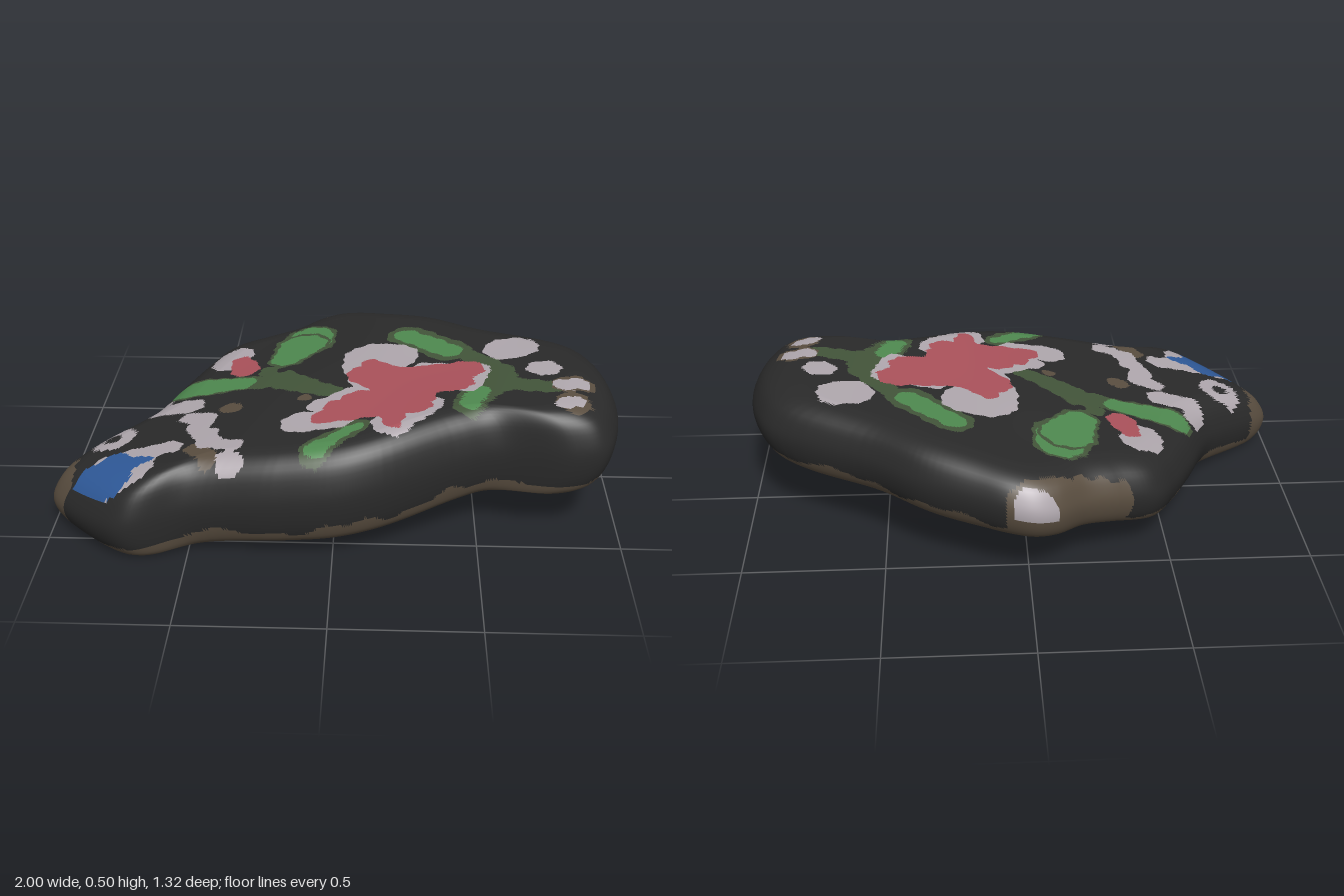
import * as THREE from 'three';

const mat = (name, color) => {
  const m = new THREE.MeshStandardMaterial({ color, side: THREE.DoubleSide });
  m.name = name;
  return m;
};

// Outline of the stone and of the opening underneath, as [x, z] in hundredths
const OUTLINE = [[-2, -66], [6, -65], [18, -60], [37, -51], [56, -37], [90, -17], [97, -4], [100, 15], [98, 32],
  [93, 43], [82, 46], [58, 42], [45, 46], [15, 60], [0, 63.5], [-20, 63], [-50, 60.5], [-70, 66], [-80, 61],
  [-100, 39], [-99, 33], [-80, 15], [-72, 6], [-62, -16], [-54, -32], [-46, -44], [-32, -50], [-20, -55], [-10, -63]];
const OPENING = [[43, -39], [57, -1], [29, 36], [-19, 52], [-67, 38], [-68, 7], [-38, -28]];
const CX = 5, CZ = 5;

// Distance from the centre to a closed polygon along an angle
function reach(poly, a) {
  const dx = Math.cos(a), dz = Math.sin(a);
  let best = 0;
  poly.forEach((p, i) => {
    const q = poly[(i + 1) % poly.length];
    const px = p[0] - CX, pz = p[1] - CZ, ex = q[0] - p[0], ez = q[1] - p[1];
    const det = ex * dz - ez * dx;
    if (Math.abs(det) < 1e-9) return;
    const t = (ex * pz - ez * px) / det;
    const s = (dx * pz - dz * px) / det;
    if (s >= -1e-6 && s <= 1 + 1e-6 && t > best) best = t;
  });
  return best;
}

// A brush stroke from one point to another, tapering from w1 to w2, with a slightly rough edge
const stroke = (x1, z1, x2, z2, w1, w2 = w1) => (x, z) => {
  const ex = x2 - x1, ez = z2 - z1;
  const t = THREE.MathUtils.clamp(((x - x1) * ex + (z - z1) * ez) / (ex * ex + ez * ez || 1), 0, 1);
  const rough = 0.3 * Math.sin(0.9 * x + 0.4 * z) + 0.3 * Math.sin(1.1 * z - 0.5 * x);
  return Math.hypot(x - x1 - t * ex, z - z1 - t * ez) < w1 + (w2 - w1) * t + rough;
};
const dot = (x, z, r) => stroke(x, z, x, z, r);

const BLACK = 0, BROWN = 1, GREEN = 2, STEM = 3, RED = 4, WHITE = 5, BLUE = 6;

// Painted shapes on the top face; later ones cover earlier ones
const paint = [];
const brush = (colour, ...strokes) => strokes.forEach((covers) => paint.push({ colour, covers }));
const leaf = (border, x1, z1, x2, z2, w1, w2) => {
  brush(STEM, stroke(x1, z1, x2, z2, w1 + border, w2 + border));
  brush(GREEN, stroke(x1, z1, x2, z2, w1, w2));
};

// stems and bare spots
brush(STEM, stroke(-30, 0, -18, 2, 5), stroke(-20, 2, -2, 16, 6, 4), stroke(-26, -8, -18, 0, 4), stroke(48, -6, 58, 8, 4, 5));
brush(STEM, stroke(58, 10, 58, 20, 6), stroke(56, 18, 76, 24, 5, 4), stroke(58, 18, 50, 30, 5));
brush(BROWN, dot(-38, 18, 4), dot(-11, 18, 2.5), stroke(-48, 46, -42, 53, 3.5), dot(82, 34, 6.3), stroke(81, 22, 85, 21, 5.5));
brush(BLACK, dot(-21, -7, 2));
// leaves
leaf(1.5, -12, -36, -13, -29, 8.5, 9.5);
leaf(1.5, -15, -28, -20, -17, 9.5, 6);
leaf(1, -56, -4, -35, -1.5, 6.5, 4.5);
leaf(3, 25, -27, 41, -11, 4.5, 5);
leaf(2.5, 50, 24, 46.5, 34, 4, 3.5);
leaf(2, -6, 55, 8, 43, 3.5, 2.2);
// large flower
brush(WHITE, stroke(13, -10, 18, -9, 11.5), stroke(6, -5, 10, 12, 5), stroke(32, 4, 49, 7, 6), stroke(48, 10, 46, 18, 6));
brush(WHITE, stroke(30, 32, 20, 43, 7.5), stroke(-12, 36, 0, 36, 7), stroke(-5, 26, 8, 18, 5));
brush(RED, stroke(12, -4, 17, 6, 4, 8), stroke(10, 4, 18, 14, 7), stroke(20, 8, 46, 6, 7), stroke(20, 16, 41, 15, 8));
brush(RED, stroke(8, 25, 28, 26, 7.5), stroke(-4, 34, 28, 32, 4.5, 6), stroke(20, 35, 20, 45, 6, 2.5), stroke(0, 27, 10, 24, 4));
// small bud
brush(WHITE, stroke(-41, -26, -42, -22, 7.5));
brush(RED, stroke(-38, -21, -35.5, -13, 4, 5.5));
// white petals and trailing blobs
brush(WHITE, stroke(62, -9, 65, -10, 8.8), dot(74, 9, 6), stroke(80, 22, 85, 21, 4), stroke(79, 35, 83, 33, 3.2));
brush(WHITE, stroke(-66, 3, -65, 11, 4.5), stroke(-62, 10, -53, 11, 5), stroke(-52, 21, -48, 24, 4), stroke(-47, 23, -48, 31, 4.5));
brush(WHITE, stroke(-45, 36, -43, 43, 4.5), stroke(-38, 46, -34, 47, 3.5), stroke(-36, 54, -34, 55, 4), dot(-79, 27, 7.7));
brush(BLACK, dot(-79, 27, 2.8));
// blue blossom
brush(WHITE, stroke(-80, 45, -57, 42, 6, 4.5), stroke(-66, 48, -66, 53, 5), stroke(-80, 55, -70, 55, 5));
brush(BLUE, stroke(-83, 49, -76, 48, 7.5), stroke(-77, 53, -74, 54, 6), dot(-76, 43, 4.5), stroke(-70, 48, -64, 48, 4, 2));

// Bare patches that run down the sides, and the pale tip at the back
const bare = [stroke(-98, 30, -97, 42, 6), stroke(-34, -51, -18, -55, 3.5), stroke(-18, -57, 4, -65, 4)];
const paleTip = stroke(-8, -65, 3, -65, 2.8);

function colourAt(x, z, h) {
  const a = Math.atan2(z - CZ, x - CX);
  if (h < 0.2 + 0.04 * Math.sin(a * 9) + 0.03 * Math.sin(a * 23)) return BROWN;
  if (h > 0.4 && paleTip(x, z)) return WHITE;
  let c = bare.some((covers) => covers(x, z)) ? BROWN : BLACK;
  if (h > 0.76) for (const p of paint) if (p.covers(x, z)) c = p.colour;
  return c;
}

const topY = (x, z) => 0.42 + 0.14 * x - 0.06 * x * x + 0.005 * Math.sin(7 * x + 2) * Math.cos(6 * z);
const bottomY = (x, z) => 0.12 + 0.11 * x - 0.09 * z + 0.006 * Math.sin(9 * x) * Math.cos(8 * z);

function stoneGeometry() {
  const SEG = 600, TOP = 84, SIDE = 26, UNDER = 3;
  // Radial profile: r is the share of the outline, h the share of the thickness, u runs from rim to opening
  const edge = new THREE.SplineCurve([[0.8, 1], [0.88, 0.96], [0.95, 0.84], [0.99, 0.63], [1, 0.45], [0.985, 0.25],
    [0.955, 0.1], [0.92, 0.03]].map(([r, h]) => new THREE.Vector2(r, h)));
  const rings = [];
  for (let i = 0; i <= TOP; i++) rings.push({ r: (0.8 * i) / TOP, h: 1, u: 0 });
  for (let i = 1; i <= SIDE; i++) {
    const p = edge.getPoint(i / SIDE);
    rings.push({ r: p.x, h: p.y, u: 0 });
  }
  for (let i = 1; i <= UNDER; i++) rings.push({ r: 0.92, h: 0.03 * (1 - i / UNDER), u: i / UNDER });

  const curve = new THREE.CatmullRomCurve3(OUTLINE.map(([x, z]) => new THREE.Vector3(x, 0, z)), true);
  const smooth = curve.getPoints(220).slice(0, -1).map((p) => [p.x, p.z]);
  const spokes = Array.from({ length: SEG }, (_, j) => {
    const a = (j / SEG) * Math.PI * 2, out = reach(smooth, a);
    return { a, out, hole: Math.min(reach(OPENING, a), out * 0.9) };
  });

  const pos = [], info = [];
  for (const { r, h, u } of rings) {
    for (const { a, out, hole } of spokes) {
      const d = THREE.MathUtils.lerp(out * r, hole, u);
      const x = (CX + d * Math.cos(a)) / 100, z = (CZ + d * Math.sin(a)) / 100;
      const yb = bottomY(x, z);
      pos.push(x, yb + h * (topY(x, z) - yb), z);
      info.push([x * 100, z * 100, h]);
    }
  }

  // Sort the triangles by paint colour
  const lists = Array.from({ length: 7 }, () => []);
  const id = (i, j) => (i === 0 ? 0 : i * SEG + (j % SEG));
  const add = (...t) => {
    const [x, z, h] = [0, 1, 2].map((k) => t.reduce((s, v) => s + info[v][k], 0) / 3);
    lists[colourAt(x, z, h)].push(...t);
  };
  for (let i = 0; i < rings.length - 1; i++) {
    for (let j = 0; j < SEG; j++) {
      if (i > 0) add(id(i, j), id(i, j + 1), id(i + 1, j));
      add(id(i, j + 1), id(i + 1, j + 1), id(i + 1, j));
    }
  }

  const g = new THREE.BufferGeometry();
  g.setAttribute('position', new THREE.Float32BufferAttribute(pos, 3));
  g.setIndex(lists.flat());
  let start = 0;
  lists.forEach((l, k) => {
    g.addGroup(start, l.length, k);
    start += l.length;
  });
  g.computeVertexNormals();
  return g;
}

export function createModel() {
  const group = new THREE.Group();
  group.name = 'paintedStone';
  const materials = [mat('black paint', 0x2a2a2a), mat('bare stone', 0x5a4e40), mat('leaf green', 0x4f8a50),
    mat('stem green', 0x43553a), mat('flower red', 0xab525b), mat('petal white', 0xb0a8ae), mat('blossom blue', 0x2f5a9a)];
  const stone = new THREE.Mesh(stoneGeometry(), materials);
  stone.name = 'stoneShell';
  group.add(stone);
  return group;
}
